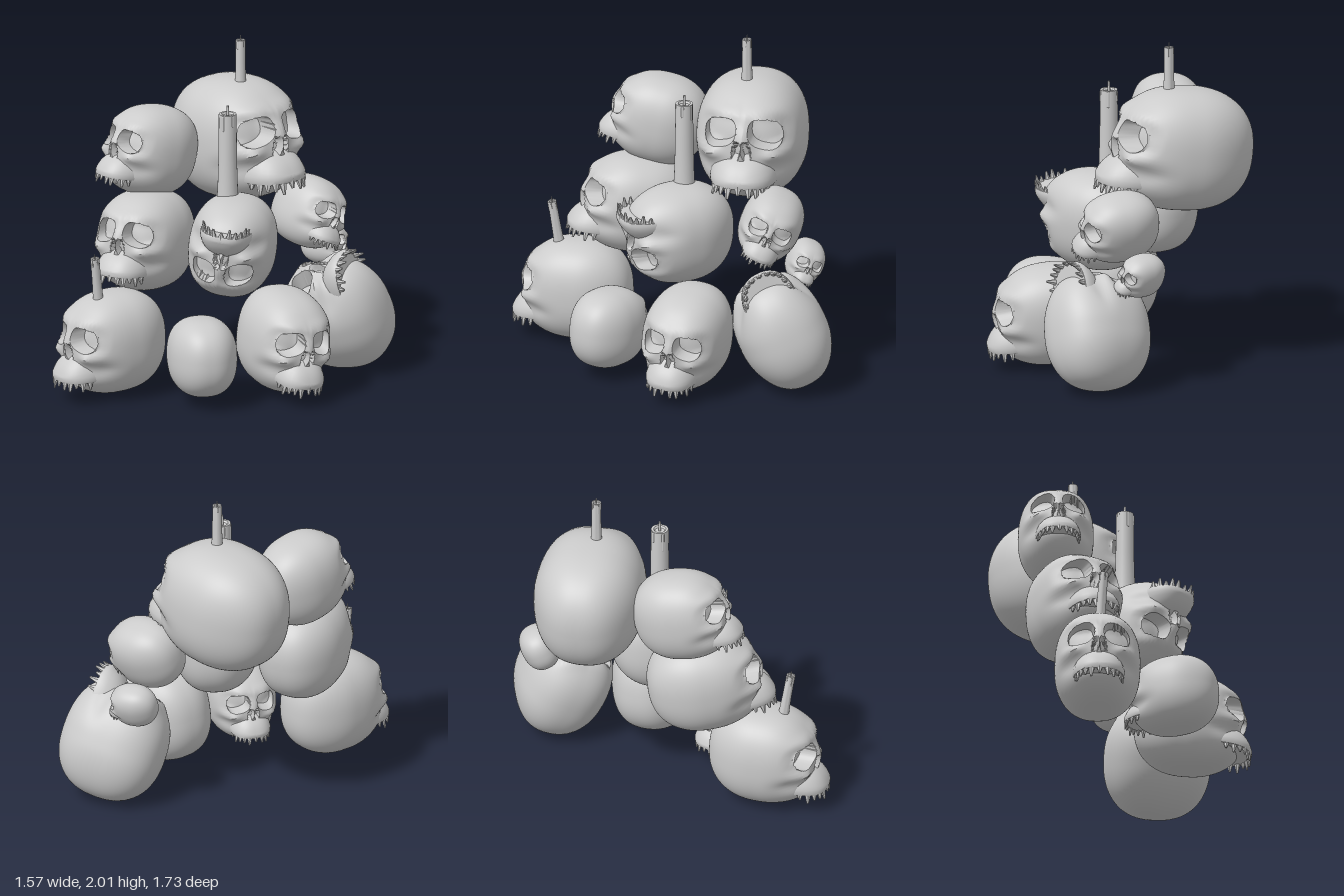
import * as THREE from 'three';
import { mergeVertices, mergeGeometries, toCreasedNormals } from 'three/addons/utils/BufferGeometryUtils.js';

const MAT = new THREE.MeshStandardMaterial({ color: 0xcccccc, side: THREE.DoubleSide });
const step = THREE.MathUtils.smoothstep;
const bump = (x, y, cx, cy, w, h) => Math.exp(-(((x - cx) / w) ** 2) - ((y - cy) / h) ** 2);

// Rounded-box ball with its poles along z, then reshaped by a rule
function ball(seg, rings, n, size, rule) {
  let g = new THREE.SphereGeometry(1, seg, rings).rotateX(Math.PI / 2);
  g.deleteAttribute('uv');
  g.deleteAttribute('normal');
  g = mergeVertices(g, 1e-5);
  const p = g.attributes.position, v = new THREE.Vector3();
  for (let i = 0; i < p.count; i++) {
    v.fromBufferAttribute(p, i);
    // crowd the rings towards the face
    const t = Math.PI * (Math.acos(THREE.MathUtils.clamp(v.z, -1, 1)) / Math.PI) ** 1.4;
    const a = Math.atan2(v.y, v.x);
    v.set(Math.sin(t) * Math.cos(a), Math.sin(t) * Math.sin(a), Math.cos(t));
    const r = (Math.abs(v.x) ** n + Math.abs(v.y) ** n + Math.abs(v.z) ** n) ** (-1 / n);
    v.multiplyScalar(r).multiply(size);
    rule(v);
    p.setXYZ(i, v.x, v.y, v.z);
  }
  return toCreasedNormals(g, 0.7);
}

// Draws points near an opening's outline onto its rim or floor edge, for a clean edge
function snapToRim(e) {
  if (e < 0.78) return e;
  if (e < 1) return 0.92;
  if (e < 1.2) return 1;
  return e < 1.6 ? 1 + (e - 1.2) * 1.5 : e;
}

// Cranium with brow, cheekbones, eye sockets and nose slits (length 1, facing +z)
function craniumGeometry() {
  return ball(84, 60, 2.4, new THREE.Vector3(0.345, 0.43, 0.44), (v) => {
    v.z -= 0.06;
    // narrower back of the head
    v.x *= 1 - 0.1 * step(-v.z, 0.1, 0.5);
    if (v.z < -0.1) return;
    const side = Math.sign(v.x), front = step(v.z, -0.1, 0.36);
    let x = Math.abs(v.x), y = v.y, sink = 0;
    // eye socket, slightly tilted
    const ex = x - 0.142, ey = y - 0.118 + 0.2 * ex;
    const eye = (Math.abs(ex / 0.104) ** 2.6 + Math.abs(ey / 0.1) ** 2.6) ** (1 / 2.6);
    if (v.z > 0 && x > 0.03 && eye > 0.01) {
      const k = snapToRim(eye) / eye;
      x = 0.142 + ex * k;
      y = 0.118 + ey * k - 0.2 * ex * k;
      if (eye < 1) sink = 0.13;
    }
    // nose slit
    const nose = Math.hypot((x - 0.03 + 0.15 * (y + 0.01)) / 0.026, (y + 0.005) / 0.07);
    sink = Math.max(sink, 0.06 * (1 - step(nose, 0.7, 1.1)));
    // brow, nose bridge, cheekbone, fuller base and hollow cheek
    v.z += front * (0.035 * bump(x, y, 0.13, 0.25, 0.13, 0.05)
      + 0.04 * bump(x, y, 0, 0.05, 0.05, 0.14)
      + 0.05 * bump(x, y, 0.22, -0.03, 0.08, 0.05)
      + 0.04 * step(-y, 0.12, 0.26)
      - 0.05 * bump(x, y, 0.29, -0.14, 0.07, 0.07)
      - sink);
    // narrower lower face
    v.x = side * x * (1 - 0.1 * step(v.z, 0, 0.3) * step(-y, 0, 0.25));
    v.y = y;
  });
}

// Domed upper jaw, squarish in plan, with a flat underside
function jawGeometry() {
  return ball(32, 20, 2.5, new THREE.Vector3(0.215, 0.2, 0.29), (v) => {
    v.y = Math.max(v.y - 0.19, -0.245);
    const rise = Math.max(v.y + 0.2, 0);
    v.x *= 1 - 0.8 * rise;
    v.z += 0.2 - 0.4 * rise;
  });
}

// Row of pointed teeth along a squarish jaw arch
function teethGeometry() {
  const teeth = [], count = 11;
  for (let i = 0; i < count; i++) {
    const a = Math.PI * (0.06 + 0.88 * i / (count - 1));
    const c = Math.cos(a), len = 0.085 + 0.018 * Math.sin(i * 2.3);
    const g = new THREE.CylinderGeometry(0.031, 0.009, len, 6);
    g.scale(1, 1, 0.7).rotateX(-0.2).rotateY(Math.PI / 2 - a);
    teeth.push(g.translate(0.185 * Math.sign(c) * Math.abs(c) ** 0.8, -0.22 - len / 2, 0.24 + 0.235 * Math.sin(a) ** 0.8));
  }
  return toCreasedNormals(mergeGeometries(teeth), 0.6);
}

function part(name, geometry) {
  const m = new THREE.Mesh(geometry, MAT);
  m.name = name;
  return m;
}

// Candle with a softened rim, wax drips and wick
function candle(name, base, r, h, lean = 0) {
  const g = new THREE.Group();
  g.name = name;
  const profile = [[1.2, 0], [1.08, 0.15], [0.98, 0.5], [0.94, 0.94], [0.92, 1], [0.65, 1], [0.5, 0.98], [0, 0.97]]
    .map(([x, y]) => new THREE.Vector2(x * r, y * h));
  g.add(part('wax', toCreasedNormals(new THREE.LatheGeometry(profile, 24), 0.6)));
  for (let i = 0; i < 5; i++) {
    const a = i * 1.26 + 0.4, len = h * (0.1 + 0.05 * (i % 3));
    const drip = part('waxDrip', new THREE.CapsuleGeometry(r * 0.18, len, 3, 8));
    drip.position.set(Math.cos(a) * r * 0.83, h - len / 2 - r * 0.2, Math.sin(a) * r * 0.83);
    g.add(drip);
  }
  const wick = part('wick', new THREE.CylinderGeometry(r * 0.12, r * 0.16, r * 1.1, 8));
  wick.position.y = h + r * 0.35;
  g.add(wick);
  g.position.set(...base);
  g.rotation.x = lean;
  return g;
}

export function createModel() {
  const model = new THREE.Group();
  model.name = 'skullPile';
  const cranium = craniumGeometry(), jaw = jawGeometry(), teeth = teethGeometry();

  // name, centre, length, facing, crown direction, height factor
  const skulls = [
    ['topSkull', [-0.165, 1.36, -0.5], 0.95, [0.92, 0.09, 0.35], [0, 1, 0], 0.9],
    ['upperRightSkull', [-0.52, 1.37, 0.015], 0.65, [-0.41, 0.18, 0.9], [0, 1, 0], 0.97],
    ['middleRightSkull', [-0.465, 0.86, 0.165], 0.76, [-0.04, 0.12, 1], [0, 1, 0], 0.92],
    ['upturnedSkull', [0.055, 0.855, 0.015], 0.74, [0.27, 0, 0.96], [-0.1, -1, 0], 0.94],
    ['middleLeftSkull', [0.3, 0.955, -0.525], 0.53, [0.88, -0.09, 0.3], [0, 1, -0.45], 0.93],
    ['tinySkull', [0.285, 0.7, -0.74], 0.32, [1, -0.05, 0.05], [0, 0.9, -0.4], 0.95],
    ['tippedSkull', [0.46, 0.38, -0.55], 0.78, [-0.18, 0.9, 0.38], [-1, -0.15, 0], 0.94],
    ['lowerLeftSkull', [0.42, 0.325, 0.01], 0.73, [0.8, -0.12, 0.53], [0, 1, -0.1], 0.96],
    ['turnedAwaySkull', [0.05, 0.285, 0.385], 0.59, [-0.66, -0.06, -0.74], [0, 1, 0], 0.93],
    ['lowerRightSkull', [-0.51, 0.32, 0.52], 0.74, [-0.44, -0.03, 0.9], [0, 1, 0], 0.96],
  ];
  for (const [name, centre, length, facing, crown, tall] of skulls) {
    const g = new THREE.Group();
    g.name = name;
    g.add(part('cranium', cranium), part('upperJaw', jaw), part('teeth', teeth));
    const z = new THREE.Vector3(...facing).normalize();
    const x = new THREE.Vector3(...crown).cross(z).normalize();
    const y = z.clone().cross(x);
    g.quaternion.setFromRotationMatrix(new THREE.Matrix4().makeBasis(x, y, z));
    g.position.set(...centre);
    g.scale.set(length, length * tall, length);
    model.add(g);
  }

  model.add(
    candle('topCandle', [-0.15, 1.69, -0.47], 0.03, 0.285),
    candle('middleCandle', [-0.015, 1.1, -0.065], 0.056, 0.55),
    candle('lowerCandle', [-0.53, 0.58, 0.59], 0.028, 0.29, 0.16),
  );
  return model;
}
